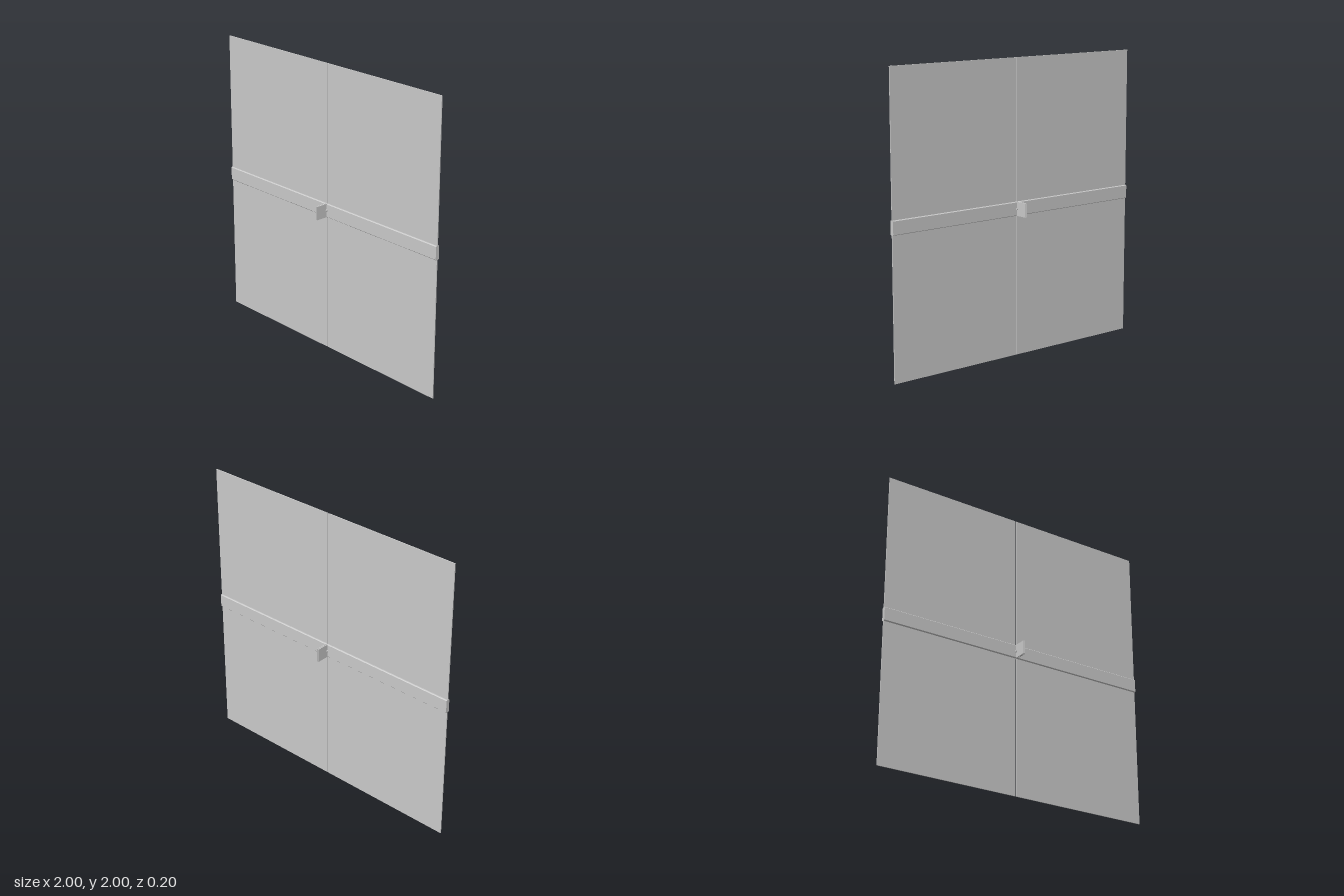
import * as THREE from 'three';

export function createModel() {
  const model = new THREE.Group();
  const grey = new THREE.MeshStandardMaterial({ color: 0xcccccc, flatShading: true });

  function add(parent, name, geometry, x, y, z) {
    const mesh = new THREE.Mesh(geometry, grey);
    mesh.name = name;
    mesh.position.set(x, y, z);
    parent.add(mesh);
    return mesh;
  }

  const gap = 0.006;             // slit between the two leaves
  const leafWidth = 1 - gap / 2;
  const railY = 1.003;

  // rail cross-section with slightly chamfered corners (depth, height)
  const d = 0.014, h = 0.047, c = 0.004;
  const section = new THREE.Shape([
    [-d, -h + c], [-d + c, -h], [d - c, -h], [d, -h + c],
    [d, h - c], [d - c, h], [-d + c, h], [-d, h - c],
  ].map(([a, b]) => new THREE.Vector2(a, b)));

  for (const side of [1, -1]) {
    const leaf = new THREE.Group();
    leaf.name = side > 0 ? 'leftLeaf' : 'rightLeaf';
    const middle = side * (gap / 2 + leafWidth / 2);

    // thin flat panel
    add(leaf, 'panel', new THREE.BoxGeometry(leafWidth, 2, 0.006), middle, 1, 0);

    // horizontal rail through the panel, running along x
    const rail = new THREE.ExtrudeGeometry(section, { depth: leafWidth, bevelEnabled: false });
    rail.translate(0, 0, -leafWidth / 2);
    rail.rotateY(Math.PI / 2);
    add(leaf, 'rail', rail, middle, railY, 0);

    // upright handle plate at the meeting edge, reaching out front and back
    add(leaf, 'handlePlate', new THREE.BoxGeometry(0.006, 0.094, 0.2), side * 0.004, railY, 0);

    // small pin beside the plate
    const pin = new THREE.CylinderGeometry(0.008, 0.008, 0.01, 12);
    pin.rotateZ(Math.PI / 2);
    for (const z of [0.016, -0.016]) add(leaf, 'pin', pin, side * 0.009, railY, z);

    model.add(leaf);
  }
  return model;
}
